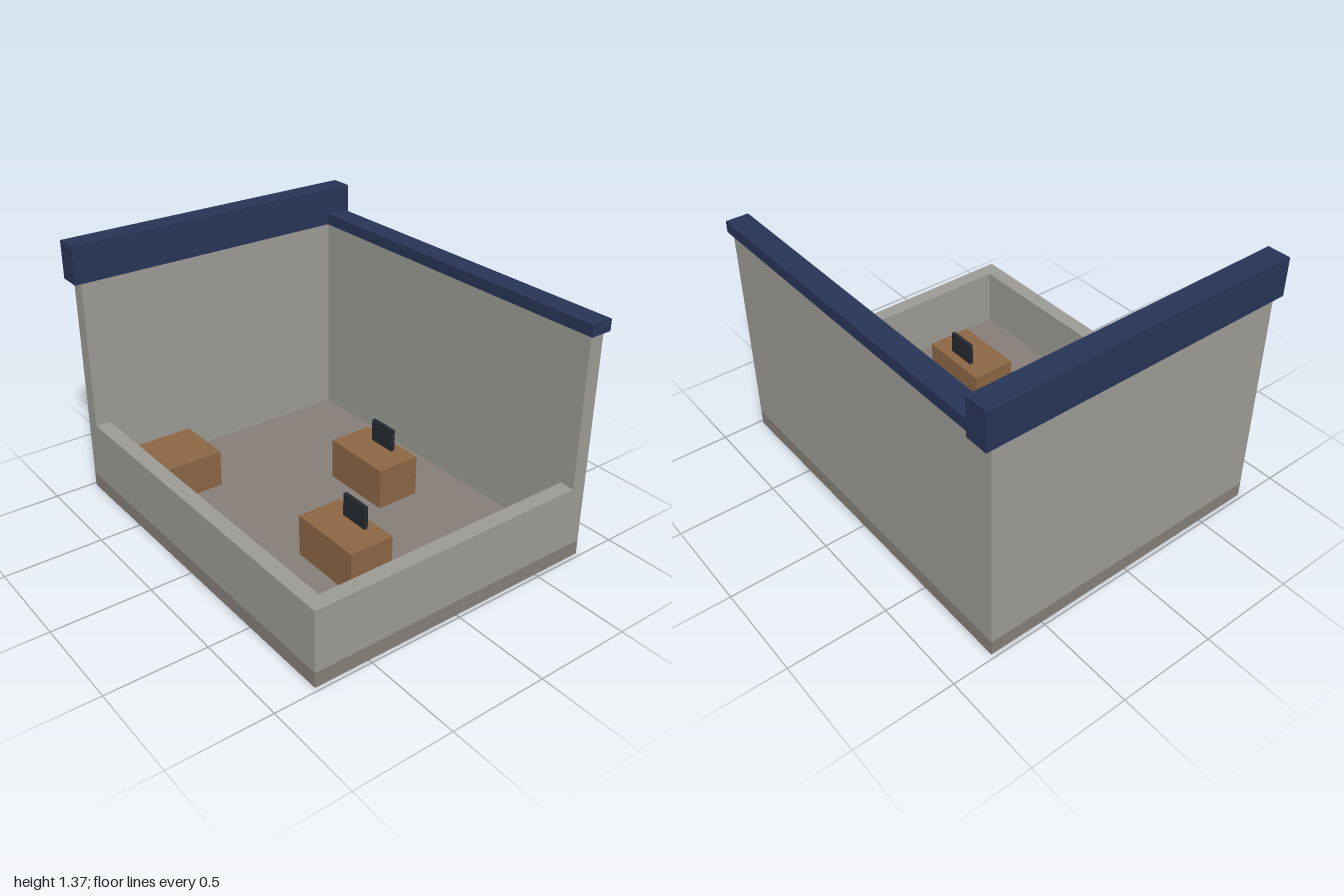
import * as THREE from 'three';

const material = (color) => new THREE.MeshStandardMaterial({ color });

export function createModel() {
  const group = new THREE.Group();
  const wall = material(0x9b9a93);
  const base = material(0x857e77);
  const trim = material(0x263456);
  const wood = material(0x8b6544);
  const dark = material(0x24282f);

  // Box given by its extents along each axis
  const block = (name, mat, [x0, x1], [y0, y1], [z0, z1], parent = group) => {
    const mesh = new THREE.Mesh(new THREE.BoxGeometry(x1 - x0, y1 - y0, z1 - z0), mat);
    mesh.position.set((x0 + x1) / 2, (y0 + y1) / 2, (z0 + z1) / 2);
    mesh.name = name;
    parent.add(mesh);
    return mesh;
  };

  const X = 0.98, Z = 0.784, T = 0.078; // half width, half depth, thickness
  const FLOOR = T, LOW = 0.392, HIGH = 1.177;

  // Floor slab and walls: two tall, two cut low
  block('floor', base, [-X, X], [0, FLOOR], [-Z, Z]);
  block('backWall', wall, [-X, X], [FLOOR, HIGH], [-Z, -Z + T]);
  block('rightWall', wall, [-X, -X + T], [FLOOR, HIGH], [-Z + T, Z]);
  block('lowFrontWall', wall, [-X + T, X], [FLOOR, LOW], [Z - T, Z]);
  block('lowLeftWall', wall, [X - T, X], [FLOOR, LOW], [-Z + T, Z - T]);

  // Coping along the tops of the tall walls
  block('rightParapet', trim, [-1, -0.882], [HIGH, 1.373], [-0.824, 0.824]);
  block('backCoping', trim, [-0.882, 1], [HIGH, 1.236], [-0.804, -0.686]);

  // Desks with a screen on each
  const DESK = 0.294;
  for (const [x, z] of [[0, -0.317], [0.467, 0.233]]) {
    const station = new THREE.Group();
    station.name = 'workstation';
    station.position.set(x, 0, z);
    block('desk', wood, [-0.196, 0.196], [FLOOR, DESK], [-0.118, 0.118], station);
    block('screen', dark, [-0.078, 0.078], [DESK, 0.412], [-0.069, -0.049], station);
    group.add(station);
  }

  // Square low table
  block('lowTable', wood, [-0.784, -0.473], [FLOOR, 0.274], [0.312, 0.625]);

  return group;
}
